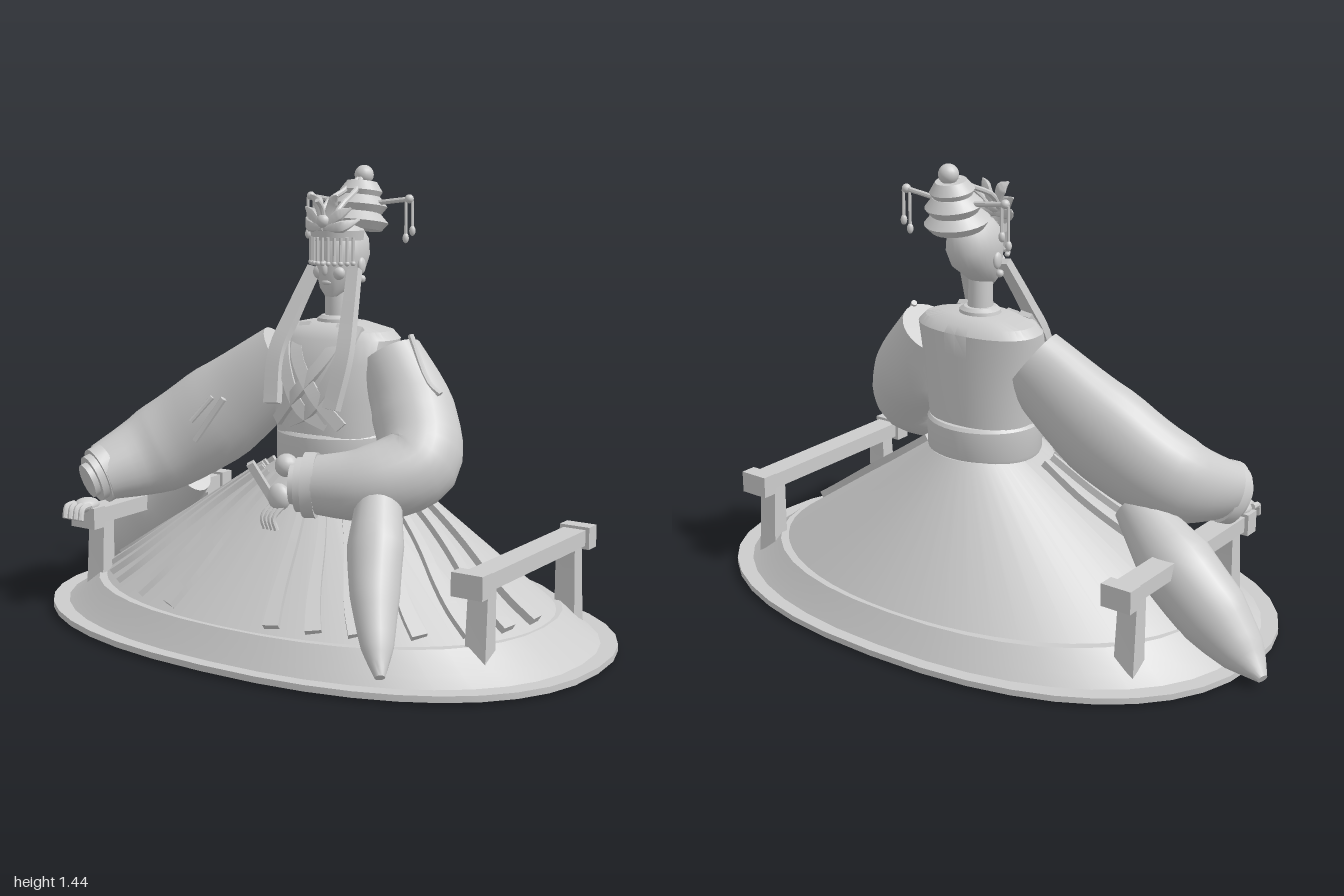
import * as THREE from 'three';
import { toCreasedNormals } from 'three/addons/utils/BufferGeometryUtils.js';

const V = (x, y, z) => new THREE.Vector3(x, y, z);
const CX = 0.04; // centre line of the figure
const stone = new THREE.MeshStandardMaterial({ color: 0xcccccc });
stone.name = 'palegrey';

// Closed skin over equal cross-section loops, with capped ends
function skin(rings, crease = 0.6) {
  const n = rings[0].length, pos = [], idx = [];
  rings.forEach(r => r.forEach(p => pos.push(p.x, p.y, p.z)));
  for (let i = 0; i < rings.length - 1; i++) for (let j = 0; j < n; j++) {
    const a = i * n + j, b = i * n + (j + 1) % n;
    idx.push(a, b, a + n, b, b + n, a + n);
  }
  [0, rings.length - 1].forEach(i => {
    const c = rings[i].reduce((s, p) => s.add(p), V(0, 0, 0)).divideScalar(n);
    const k = pos.length / 3;
    pos.push(c.x, c.y, c.z);
    for (let j = 0; j < n; j++) {
      const a = i * n + j, b = i * n + (j + 1) % n;
      i ? idx.push(k, a, b) : idx.push(k, b, a);
    }
  });
  const g = new THREE.BufferGeometry();
  g.setAttribute('position', new THREE.Float32BufferAttribute(pos, 3));
  g.setIndex(idx);
  return toCreasedNormals(g, crease);
}

// Upright body from levels [y, centreZ, radiusX, radiusZ]
function upright(levels, { seg = 40, power = 2, cx = CX } = {}) {
  const e = 2 / power, f = v => Math.sign(v) * Math.abs(v) ** e;
  return skin(levels.map(([y, cz, rx, rz]) => Array.from({ length: seg }, (_, j) => {
    const t = j / seg * Math.PI * 2;
    return V(cx + rx * f(Math.cos(t)), y, cz - rz * f(Math.sin(t)));
  })));
}

// Section [a, b] swept along a curve; a lies along ref, b across it
function sweep(pts, radii, { seg = 20, steps = 16, ref = V(0, 0, 1), crease = 0.6 } = {}) {
  const curve = new THREE.CatmullRomCurve3(pts.map(p => V(...p)));
  const phase = seg === 4 ? Math.PI / 4 : 0, u = ref.clone(), rings = [];
  for (let i = 0; i <= steps; i++) {
    const t = i / steps, c = curve.getPoint(t), T = curve.getTangent(t);
    u.addScaledVector(T, -u.dot(T)).normalize();
    const v = T.clone().cross(u), s = t * (radii.length - 1);
    const k = Math.min(Math.floor(s), radii.length - 2);
    const a = THREE.MathUtils.lerp(radii[k][0], radii[k + 1][0], s - k);
    const b = THREE.MathUtils.lerp(radii[k][1], radii[k + 1][1], s - k);
    rings.push(Array.from({ length: seg }, (_, j) => {
      const w = j / seg * Math.PI * 2 + phase;
      return c.clone().addScaledVector(u, a * Math.cos(w)).addScaledVector(v, b * Math.sin(w));
    }));
  }
  return skin(rings, crease);
}

export function createModel() {
  const root = new THREE.Group();
  root.name = 'seatedFigure';
  const add = (name, geo, at, rot) => {
    const m = new THREE.Mesh(geo, stone);
    m.name = name;
    if (at) m.position.set(...at);
    if (rot) m.rotation.set(...rot);
    root.add(m);
    return m;
  };
  const rod = (name, pts, r, seg = 8) => add(name, sweep(pts, [[r, r], [r, r]], { seg, steps: 8, ref: V(0.3, 0.2, 1) }));
  const ball = (name, r, at, s = [1, 1, 1]) => add(name, new THREE.SphereGeometry(r, 16, 12), at).scale.set(...s);

  // Base plate, hem and skirt
  add('basePlate', upright([[0.008, 0, 0.955, 0.63], [0.027, 0, 0.955, 0.63]], { power: 2.3 }));
  add('skirtHem', upright([[0.027, 0, 0.905, 0.59], [0.06, 0, 0.85, 0.57], [0.115, 0, 0.78, 0.54]], { power: 2.25 }));
  const low = [0.115, 0, 0.77, 0.525], high = [0.515, -0.05, 0.17, 0.18];
  add('skirt', upright([low, high], { power: 2.1, seg: 56 }));

  // Raised pleats following the skirt
  const onSkirt = (a, t) => {
    const [y, cz, rx, rz] = low.map((v, i) => THREE.MathUtils.lerp(high[i], v, t));
    return [CX + rx * Math.sin(a), y + 0.012, cz + rz * Math.cos(a)];
  };
  [-1.4, -1.15, -0.97, -0.8, -0.54, -0.31, 0.22, 0.4, 0.58, 0.85, 1.1, 1.33, 1.57].forEach(a => {
    const pts = [0.08, 0.3, 0.5, 0.7, 0.85, 0.98].map(t => onSkirt(a * (1.1 - 0.1 * t + 0.04 * Math.sin(t * 6)), t));
    add('skirtPleat', sweep(pts, [[0.016, 0.01], [0.018, 0.022], [0.018, 0.034]],
      { seg: 4, ref: V(Math.sin(a), 1, Math.cos(a)) }));
  });

  // Sash and torso
  add('sash', upright([[0.5, -0.06, 0.18, 0.16], [0.52, -0.06, 0.187, 0.168], [0.61, -0.06, 0.187, 0.168], [0.62, -0.06, 0.18, 0.16]]));
  add('torso', upright([[0.6, -0.055, 0.178, 0.15], [0.72, -0.055, 0.192, 0.152], [0.84, -0.065, 0.207, 0.142],
    [0.91, -0.08, 0.213, 0.127], [0.935, -0.08, 0.19, 0.11], [0.955, -0.08, 0.1, 0.075]], { power: 2.3 }));
  add('collarRing', upright([[0.945, -0.08, 0.07, 0.062], [0.965, -0.08, 0.065, 0.06], [0.975, -0.08, 0.05, 0.05]], { seg: 24 }));
  add('neck', upright([[0.94, -0.08, 0.04, 0.04], [1.08, -0.075, 0.037, 0.037]], { seg: 20 }));

  // Crossed robe lapels
  for (const s of [1, -1]) for (const k of [0, 1]) {
    const d = k * 0.05;
    add('lapel', sweep([[CX + s * (0.07 + d), 0.95, -0.01], [CX + s * (0.06 + d), 0.87, 0.055],
      [CX - s * (0.03 - d), 0.75 - d, 0.098], [CX - s * (0.12 - d), 0.65, 0.08]],
    [[0.012, 0.03], [0.012, 0.026]], { seg: 4 }));
  }

  // Sleeves, cuffs and trailing sleeve ends
  add('rightSleeve', sweep([[-0.14, 0.82, -0.06], [-0.38, 0.63, -0.01], [-0.57, 0.5, 0.07], [-0.68, 0.435, 0.23]],
    [[0.09, 0.125], [0.12, 0.165], [0.125, 0.15], [0.08, 0.095]], { seg: 28 }));
  add('leftSleeve', sweep([[0.24, 0.86, -0.07], [0.35, 0.7, -0.03], [0.42, 0.57, 0.06], [0.33, 0.515, 0.17], [0.15, 0.5, 0.24]],
    [[0.09, 0.105], [0.125, 0.13], [0.13, 0.125], [0.115, 0.11], [0.085, 0.085]], { seg: 28, steps: 20 }));
  [[0, 0.09], [0.022, 0.075], [0.04, 0.055]].forEach(([d, r]) => {
    add('rightCuff', sweep([[-0.67 - d * 0.3, 0.44 - d * 0.3, 0.21 + d], [-0.685 - d * 0.3, 0.425 - d * 0.3, 0.245 + d]],
      [[r * 0.85, r * 1.1], [r * 0.85, r * 1.1]], { seg: 24, steps: 1, ref: V(1, 0, 0) }));
    add('leftCuff', sweep([[0.175 - d, 0.5, 0.23 + d * 0.4], [0.14 - d, 0.5, 0.245 + d * 0.4]],
      [[r * 1.1, r], [r * 1.1, r]], { seg: 24, steps: 1, ref: V(0, 1, 0) }));
  });
  add('rightSleeveTail', sweep([[-0.48, 0.42, 0], [-0.66, 0.28, -0.04], [-0.8, 0.16, -0.05], [-0.91, 0.075, -0.06], [-0.99, 0.03, -0.09]],
    [[0.06, 0.07], [0.11, 0.12], [0.1, 0.115], [0.07, 0.07], [0.018, 0.015]], { seg: 20 }));
  add('leftSleeveTail', sweep([[0.36, 0.5, 0.17], [0.42, 0.36, 0.29], [0.47, 0.24, 0.37], [0.53, 0.12, 0.45], [0.57, 0.055, 0.5]],
    [[0.07, 0.06], [0.08, 0.085], [0.075, 0.07], [0.05, 0.045], [0.015, 0.015]], { seg: 20 }));
  // Sleeve folds
  rod('sleeveFold', [[-0.28, 0.7, 0.095], [-0.37, 0.56, 0.13]], 0.011);
  rod('sleeveFold', [[-0.33, 0.7, 0.09], [-0.39, 0.62, 0.125]], 0.009);
  rod('sleeveEdge', [[0.32, 0.93, -0.06], [0.42, 0.8, 0.0], [0.46, 0.77, 0]], 0.01);

  // Hands with fingers, and a small held fan
  ball('rightHand', 0.035, [-0.67, 0.345, 0.32], [1.1, 0.7, 1.3]);
  ball('leftHand', 0.035, [0.07, 0.46, 0.28], [1.1, 1.2, 0.8]);
  for (let i = 0; i < 4; i++) {
    const x = -0.705 + i * 0.022;
    rod('rightFinger', [[x, 0.35, 0.34], [x, 0.345, 0.375], [x + 0.005, 0.31, 0.39]], 0.01);
    rod('leftFinger', [[0.05 + i * 0.014, 0.44, 0.28], [0.03 + i * 0.014, 0.4, 0.31], [0.04 + i * 0.014, 0.365, 0.31]], 0.008);
  }
  ball('sashKnot', 0.036, [0.055, 0.545, 0.22]);
  rod('fanStick', [[0.0, 0.565, 0.33], [0.045, 0.44, 0.27]], 0.016, 4);

  // Head and face
  add('head', upright([[1.035, -0.045, 0.02, 0.02], [1.06, -0.065, 0.046, 0.05], [1.11, -0.095, 0.07, 0.088], [1.16, -0.105, 0.08, 0.1],
    [1.21, -0.105, 0.077, 0.095], [1.245, -0.11, 0.055, 0.07], [1.265, -0.11, 0.02, 0.025]], { seg: 28 }));
  ball('nose', 0.013, [CX, 1.125, -0.006], [0.8, 1.8, 1]);
  ball('lips', 0.016, [CX, 1.08, -0.02], [1.2, 0.6, 0.8]);
  for (const s of [1, -1]) {
    ball('cheek', 0.022, [CX + s * 0.035, 1.11, -0.03], [1, 1, 0.8]);
    ball('ear', 0.026, [CX + s * 0.078, 1.13, -0.095], [0.4, 1, 0.7]);
    ball('earring', 0.012, [CX + s * 0.083, 1.09, -0.09]);
    // Long ribbons hanging in front of the shoulders
    add('ribbon', sweep([[CX + s * 0.075, 1.12, -0.06], [CX + s * 0.105, 0.98, 0.015], [CX + s * 0.125, 0.86, 0.075], [CX + s * 0.11, 0.71, 0.12]],
      [[0.018, 0.028], [0.02, 0.035], [0.02, 0.036]], { seg: 4, ref: V(0, 0.4, 1) }));
  }

  // Tiered bun, leaning back
  [[1.265, -0.19, 0.1], [1.315, -0.205, 0.088], [1.36, -0.213, 0.068]].forEach(([y, z, r]) =>
    add('bunTier', toCreasedNormals(new THREE.LatheGeometry([[0, -0.03], [r * 0.8, -0.03], [r, -0.005], [r * 0.7, 0.025], [0, 0.025]]
      .map(p => new THREE.Vector2(...p)), 24), 0.5), [CX, y, z], [-0.16, 0, 0]));
  ball('bunPearl', 0.031, [CX, 1.405, -0.228]);

  // Crown band, bead veil and front spikes
  const band = new THREE.CylinderGeometry(0.09, 0.086, 0.03, 24, 1, true, -1.6, 3.2);
  const bandMesh = add('crownBand', band, [CX, 1.225, -0.09]);
  bandMesh.scale.z = 1.08;
  bandMesh.material = new THREE.MeshStandardMaterial({ color: 0xcccccc, side: THREE.DoubleSide });
  bandMesh.material.name = 'palegreyOpen';
  for (let i = -5; i <= 5; i++) {
    const a = i * 0.22, x = CX + 0.088 * Math.sin(a), z = -0.09 + 0.096 * Math.cos(a);
    rod('beadStrand', [[x, 1.22, z], [x, 1.145, z]], 0.005, 6);
    ball('bead', 0.008, [x, 1.14, z]);
  }
  for (const s of [1, -1]) {
    [[0.1, 1.275], [0.085, 1.31], [0.05, 1.35]].forEach(([x, y], i) => add('crownLeaf',
      sweep([[CX, 1.25, 0], [CX + s * x * 0.6, y - 0.02, -0.01], [CX + s * x, y, -0.05 + i * 0.025]],
        [[0.01, 0.012], [0.009, 0.02], [0.002, 0.003]], { seg: 8 })));
    rod('crownArch', [[CX + s * 0.02, 1.27, -0.01], [CX + s * 0.03, 1.32, -0.06], [CX + s * 0.02, 1.36, -0.15], [CX, 1.4, -0.215]], 0.009);
    // Side hairpins with pendants
    rod('hairpin', [[CX, 1.31, -0.2], [CX + s * 0.11, 1.325, -0.2], [CX + s * 0.19, 1.335, -0.2]], 0.008);
    ball('hairpinTip', 0.014, [CX + s * 0.185, 1.335, -0.2]);
    for (const d of [-0.012, 0.012]) {
      rod('pendant', [[CX + s * 0.185 + d, 1.33, -0.2], [CX + s * 0.185 + d, 1.23 + d, -0.2]], 0.005, 6);
      ball('pendantBead', 0.01, [CX + s * 0.185 + d, 1.225 + d, -0.2], [1, 1.6, 1]);
    }
  }
  ball('crownJewel', 0.022, [CX, 1.27, 0]);
  rod('crownSpike', [[CX, 1.25, -0.005], [CX, 1.31, 0.01], [CX, 1.335, 0.035]], 0.008);

  // Armrests either side
  for (const x of [-0.67, 0.75]) {
    add('armrestBar', new THREE.BoxGeometry(0.075, 0.05, 0.66), [x, 0.308, -0.022]);
    for (const z of [0.315, -0.36]) add('armrestEnd', new THREE.BoxGeometry(0.1, 0.07, 0.052), [x, 0.307, z]);
    for (const [z, d] of [[0.25, 0.012], [-0.297, -0.012]])
      add('armrestLeg', sweep([[x, 0, z + d], [x, 0.29, z]], [[0.046, 0.05], [0.034, 0.045]], { seg: 4, steps: 2 }));
  }
  return root;
}
